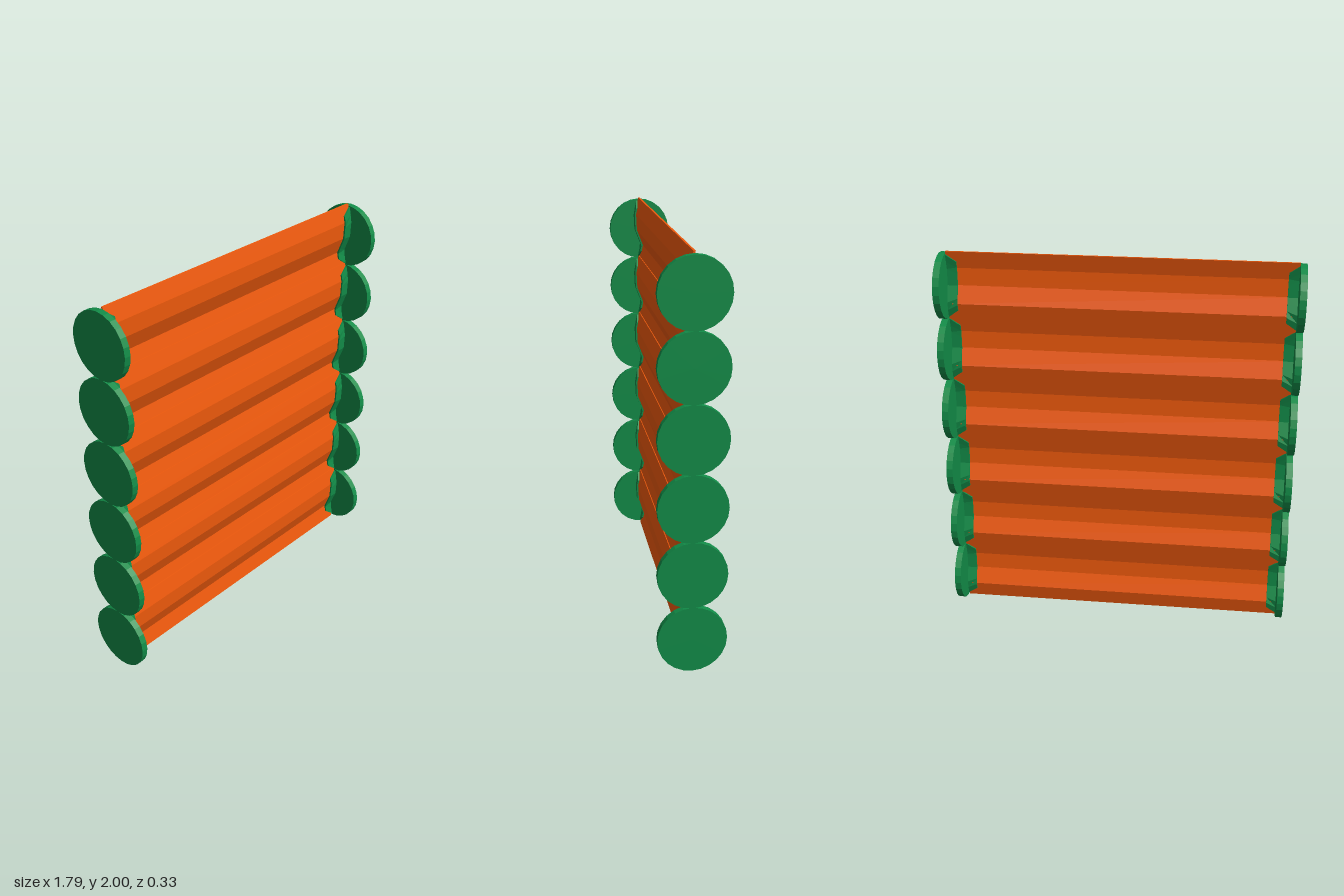
import * as THREE from 'three';

const SLATS = 6, PITCH = 0.33, HEIGHT = 0.35, HALF_LENGTH = 0.86;
// depth of the wavy slat section at evenly spaced heights, bottom to top
const WAVE = [0, -0.019, 0.015, 0.019, 0];

function wave(y) {
  const t = THREE.MathUtils.clamp((y / HEIGHT + 0.5) * 4, 0, 3.9999);
  const i = Math.floor(t);
  return THREE.MathUtils.lerp(WAVE[i], WAVE[i + 1], t - i);
}

// box bent along the wave; its height shrinks by taper towards the -x end
function wavyPlate(length, height, thickness, rows, taper = 1) {
  const geo = new THREE.BoxGeometry(length, height, thickness, 1, rows, 1);
  const p = geo.attributes.position;
  for (let i = 0; i < p.count; i++) {
    const y = p.getY(i) * (p.getX(i) < 0 ? taper : 1);
    p.setY(i, y);
    p.setZ(i, p.getZ(i) + wave(y));
  }
  geo.computeVertexNormals();
  return geo;
}

export function createModel() {
  const group = new THREE.Group();
  const orange = new THREE.MeshStandardMaterial({ color: 0xf05a0c, flatShading: true });
  const green = new THREE.MeshStandardMaterial({ color: 0x128c48, flatShading: true });

  const slatGeo = wavyPlate(HALF_LENGTH * 2, HEIGHT, 0.01, 4);
  const tabGeo = wavyPlate(0.055, 0.325, 0.026, 8, 0.75);
  const discGeo = new THREE.CylinderGeometry(0.166, 0.166, 0.033, 24).rotateZ(Math.PI / 2);

  const add = (parent, geo, mat, name, x) => {
    const mesh = new THREE.Mesh(geo, mat);
    mesh.name = name;
    mesh.position.x = x;
    parent.add(mesh);
    return mesh;
  };

  for (let i = 0; i < SLATS; i++) {
    const unit = new THREE.Group();
    unit.name = 'slatUnit' + (i + 1);
    unit.position.y = HEIGHT / 2 + i * PITCH;
    add(unit, slatGeo, orange, 'slat', 0);

    // end caps: round disc and a tapered sleeve gripping the slat
    for (const side of [1, -1]) {
      const cap = new THREE.Group();
      cap.name = side > 0 ? 'leftEndCap' : 'rightEndCap';
      cap.scale.x = side;
      add(cap, discGeo, green, 'disc', HALF_LENGTH + 0.0165);
      add(cap, tabGeo, green, 'sleeve', HALF_LENGTH - 0.0225);
      unit.add(cap);
    }
    group.add(unit);
  }
  return group;
}
